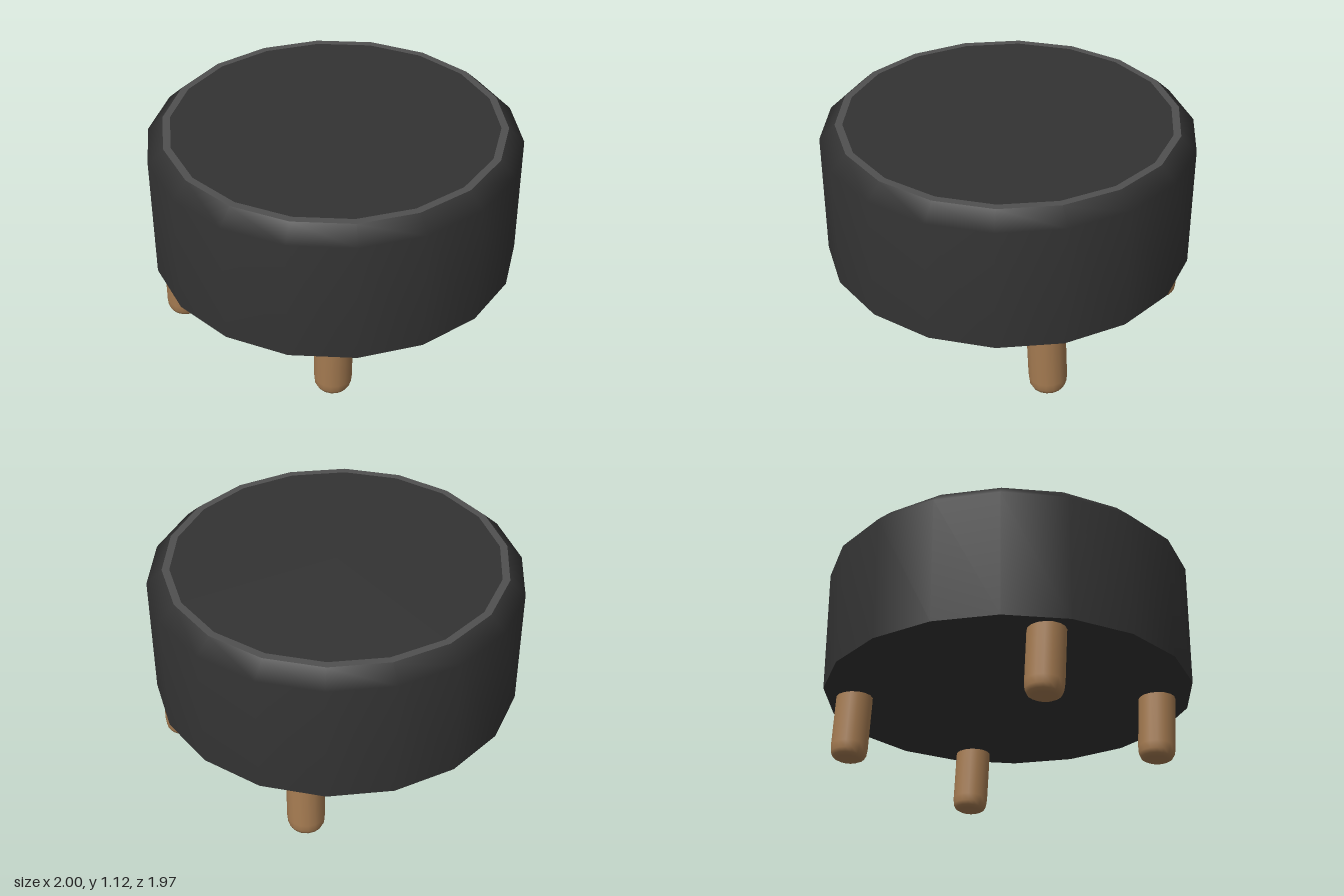
import * as THREE from 'three';

const SIDES = 18;

// Turned part from [radius, height] points, corner on the x axis
function turned(name, points, sides, material) {
  const profile = points.map(([r, y]) => new THREE.Vector2(r, y));
  const geometry = new THREE.LatheGeometry(profile, sides, Math.PI / 2);
  const mesh = new THREE.Mesh(geometry, material);
  mesh.name = name;
  return mesh;
}

export function createModel() {
  const model = new THREE.Group();
  model.name = 'roundStool';

  const fabric = new THREE.MeshStandardMaterial({ color: 0x333333 });
  const piping = new THREE.MeshStandardMaterial({ color: 0x505050 });
  const wood = new THREE.MeshStandardMaterial({ color: 0xa67c52 });

  // Upholstered drum with a bevelled shoulder
  const base = 0.36, shoulder = 1.045, top = 1.125, rim = 0.915, inner = 0.875;
  const seat = new THREE.Group();
  seat.name = 'seat';
  seat.add(
    turned('seatSide', [[1, base], [1, shoulder], [rim, top]], SIDES, fabric),
    turned('seatBottom', [[0, base], [1, base]], SIDES, fabric),
    turned('seatTrim', [[rim, top], [inner, top]], SIDES, piping),
    turned('seatTop', [[inner, top], [0, top]], SIDES, fabric)
  );
  model.add(seat);

  // Four slightly leaning legs with rounded feet, pivoted at mid height
  const legProfile = [
    [0, -0.183], [0.065, -0.183], [0.085, -0.172], [0.096, -0.15], [0.1, -0.11], [0.1, 0.2]
  ];
  const legs = [
    ['leftLeg', 0.875, 0.05],
    ['frontLeg', -0.235, 0.767],
    ['rightLeg', -0.85, -0.085],
    ['backLeg', 0.26, -0.805]
  ];
  for (const [name, x, z] of legs) {
    const leg = turned(name, legProfile, 16, wood);
    leg.position.set(x, 0.187, z);
    leg.rotation.x = 0.05;
    model.add(leg);
  }

  return model;
}
